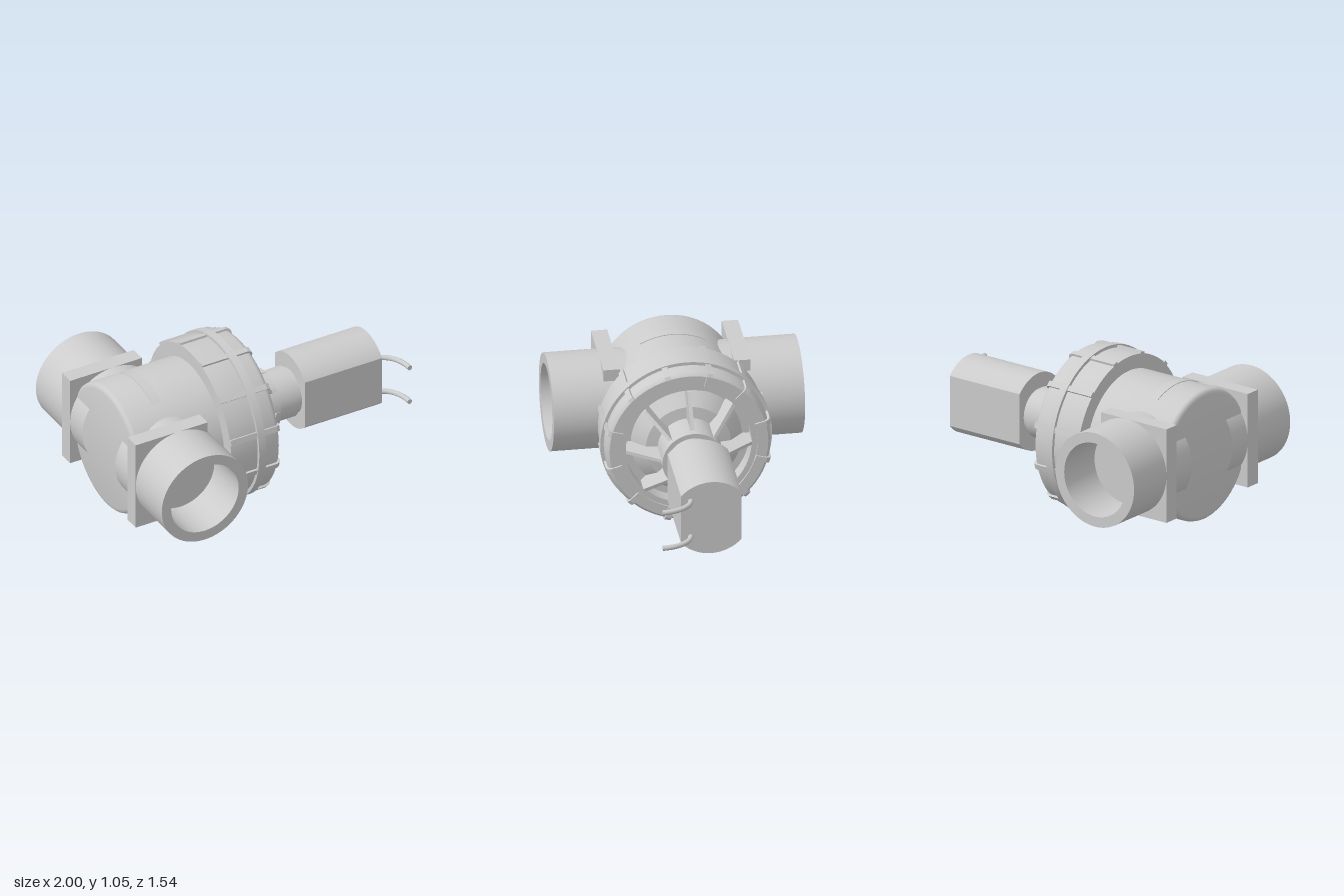
import * as THREE from 'three';
import { toCreasedNormals } from 'three/addons/utils/BufferGeometryUtils.js';

const AXIS_Y = 0.525;

export function createModel() {
  const model = new THREE.Group();
  const material = new THREE.MeshStandardMaterial({ color: 0xcccccc, side: THREE.DoubleSide });

  function add(name, geometry, parent = model) {
    const mesh = new THREE.Mesh(geometry, material);
    mesh.name = name;
    parent.add(mesh);
    return mesh;
  }
  // Turned solid from [radius, position] pairs along the y axis
  const turned = (pairs, segments = 72) =>
    toCreasedNormals(new THREE.LatheGeometry(pairs.map(p => new THREE.Vector2(...p)), segments), 0.6);
  const turnedX = pairs => turned(pairs).rotateZ(-Math.PI / 2);
  // Flat plate in the xy plane, thickness centred on z
  function plate(pairs, thickness) {
    const shape = new THREE.Shape(pairs.map(p => new THREE.Vector2(...p)));
    return new THREE.ExtrudeGeometry(shape, { depth: thickness, bevelEnabled: false })
      .translate(0, 0, -thickness / 2);
  }

  // Everything turned about the main axis
  const core = new THREE.Group();
  core.name = 'mainAxis';
  core.position.y = AXIS_Y;
  model.add(core);

  // Main housing with a rounded closed end
  add('housing', turnedX([
    [0, -0.95], [0.385, -0.95], [0.4, -0.946], [0.411, -0.935], [0.415, -0.92], [0.415, -0.3],
  ]), core);

  // Small raised strip across the top of the housing
  add('housingStrip', new THREE.CylinderGeometry(0.419, 0.419, 0.06, 24, 1, false, -0.5, 1)
    .rotateZ(-Math.PI / 2).rotateX(-Math.PI / 2).translate(-0.71, 0, 0), core);

  // Union nut
  add('unionNut', turnedX([
    [0.4, -0.365], [0.505, -0.365], [0.505, -0.055], [0.5, -0.038], [0.485, -0.025],
    [0.42, -0.025], [0.42, -0.035],
  ]), core);
  add('nutBand', turnedX([
    [0.5, -0.183], [0.525, -0.183], [0.525, -0.132], [0.5, -0.132],
  ]), core);

  // Nut grips: ribs wrapping from the rim onto the front face
  const gripShape = [
    [-0.365, 0.49], [-0.365, 0.518], [-0.045, 0.518], [-0.025, 0.51], [-0.014, 0.49],
    [-0.014, 0.42], [-0.04, 0.42], [-0.04, 0.48], [-0.06, 0.49],
  ];
  for (let i = 0; i < 12; i++) {
    add('nutGrip', plate(gripShape, 0.036), core).rotation.x = (i + 0.5) * Math.PI / 6;
  }

  // Bonnet: recessed dish, cone and hub, then the stepped neck
  add('bonnet', turnedX([
    [0.43, -0.035], [0.385, -0.035], [0.385, -0.13], [0.34, -0.13], [0.26, -0.05], [0.19, -0.04],
    [0.19, 0.16], [0.16, 0.16], [0.16, 0.305], [0.145, 0.305], [0.145, 0.335],
  ]), core);

  // Stiffening fins around the hub
  const finShape = [
    [-0.13, 0.17], [-0.13, 0.385], [-0.015, 0.385], [0.125, 0.195], [0.16, 0.19], [0.16, 0.17],
  ];
  for (let i = 0; i < 8; i++) {
    add('bonnetFin', plate(finShape, 0.022), core).rotation.x = i * Math.PI / 4;
  }

  // Motor: round can with two flat sides
  const a = Math.acos(0.185 / 0.245);
  const can = new THREE.Shape();
  can.absarc(0, 0, 0.245, a, Math.PI - a, false);
  can.absarc(0, 0, 0.245, Math.PI + a, Math.PI * 2 - a, false);
  can.closePath();
  add('motor', toCreasedNormals(new THREE.ExtrudeGeometry(can, {
    depth: 0.535, bevelEnabled: false, curveSegments: 32,
  }), 0.4).rotateY(Math.PI / 2).translate(0.33, 0, 0), core);

  // Two leads bending toward the front
  for (const y of [0.65, 0.405]) {
    const path = new THREE.CubicBezierCurve3(
      new THREE.Vector3(0.85, y, 0.125), new THREE.Vector3(0.93, y, 0.125),
      new THREE.Vector3(0.984, y, 0.21), new THREE.Vector3(0.984, y, 0.315));
    add('lead', new THREE.TubeGeometry(path, 24, 0.016, 14));
    add('leadEnd', new THREE.CircleGeometry(0.016, 14).translate(0.984, y, 0.315));
  }

  // Pipe sockets with mounting plates, front and back
  for (const side of [1, -1]) {
    add('pipeSocket', turned([
      [0.3, 0.2], [0.3, 0.768], [0.235, 0.768], [0.235, 0.47], [0, 0.47],
    ]).rotateX(side * Math.PI / 2).translate(-0.7, 0.53, 0));
    add('mountingPlate', new THREE.BoxGeometry(0.5, 0.6, 0.1)
      .translate(-0.75, 0.53, side * 0.4));
  }
  return model;
}
